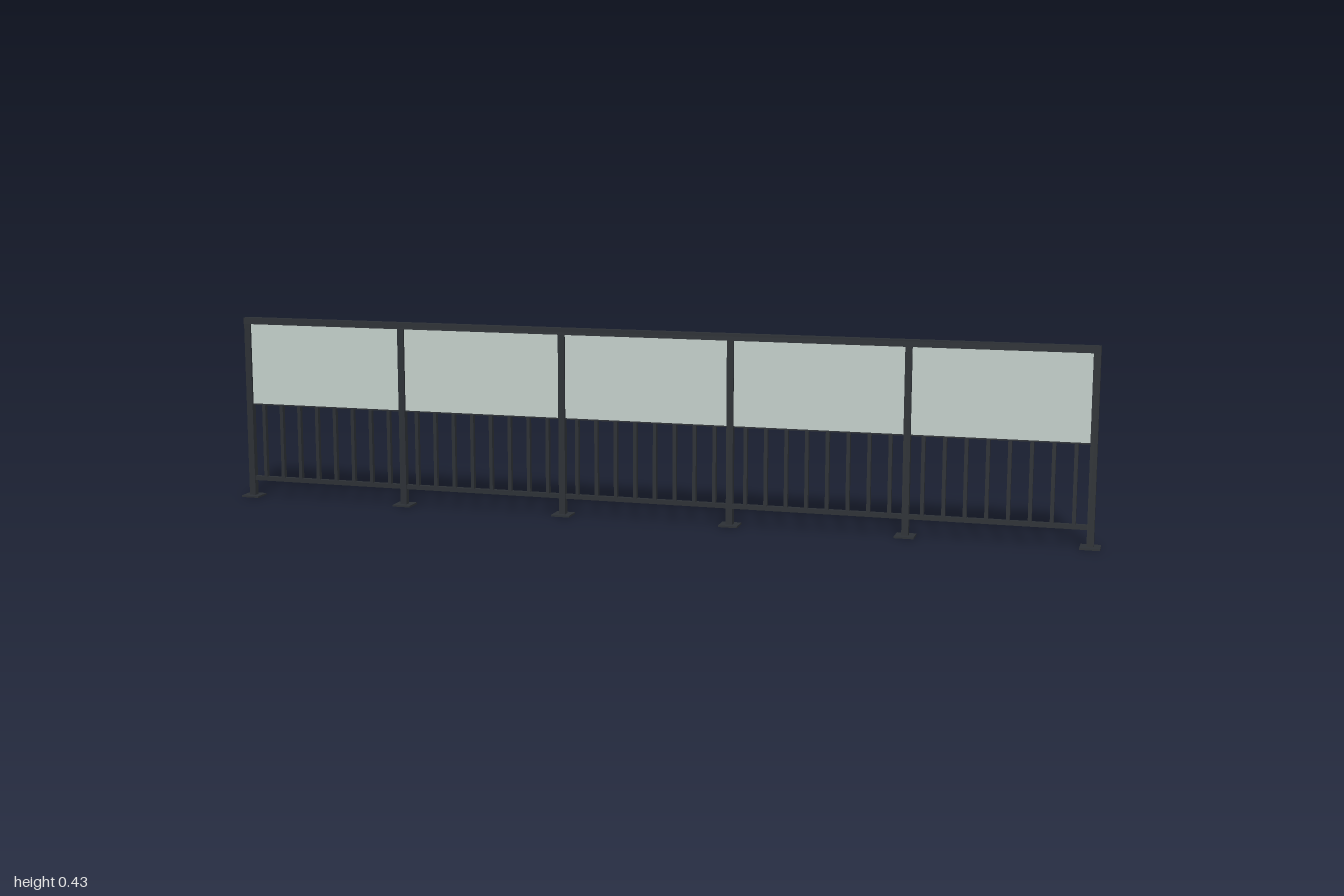
import * as THREE from 'three';

export function createModel() {
  const model = new THREE.Group();
  model.name = 'railing';
  const metal = new THREE.MeshStandardMaterial({ color: 0x2c3035 });
  const glass = new THREE.MeshStandardMaterial({ color: 0xc5d1cc });

  // Box spanning y0 to y1, centred on x and z = 0
  function bar(parent, name, x, y0, y1, width, depth, material = metal) {
    const mesh = new THREE.Mesh(new THREE.BoxGeometry(width, y1 - y0, depth), material);
    mesh.name = name;
    mesh.position.set(x, (y0 + y1) / 2, 0);
    parent.add(mesh);
  }

  const bays = 5, pitch = 0.3914, post = 0.015;
  const firstPost = -bays * pitch / 2;
  const clear = pitch - post;

  // Posts on square base plates
  for (let i = 0; i <= bays; i++) {
    const x = firstPost + i * pitch;
    bar(model, 'basePlate', x, 0, 0.004, 0.043, 0.043);
    bar(model, 'post', x, 0.004, 0.416, post, post);
  }

  // Continuous handrail
  bar(model, 'handrail', 0, 0.415, 0.43, bays * pitch + post, 0.019);

  // Bays: bottom rail, balusters and the upper infill panel
  const balusters = 8, spacing = 0.0458;
  for (let i = 0; i < bays; i++) {
    const bay = new THREE.Group();
    bay.name = 'bay';
    bay.position.x = firstPost + (i + 0.5) * pitch;
    model.add(bay);
    bar(bay, 'bottomRail', 0, 0.04, 0.05, clear, 0.012);
    for (let j = 0; j < balusters; j++) {
      bar(bay, 'baluster', (j - (balusters - 1) / 2) * spacing, 0.05, 0.222, 0.008, 0.011);
    }
    bar(bay, 'panelSill', 0, 0.222, 0.225, clear, 0.005);
    bar(bay, 'glassPanel', 0, 0.225, 0.415, clear, 0.004, glass);
  }
  return model;
}
